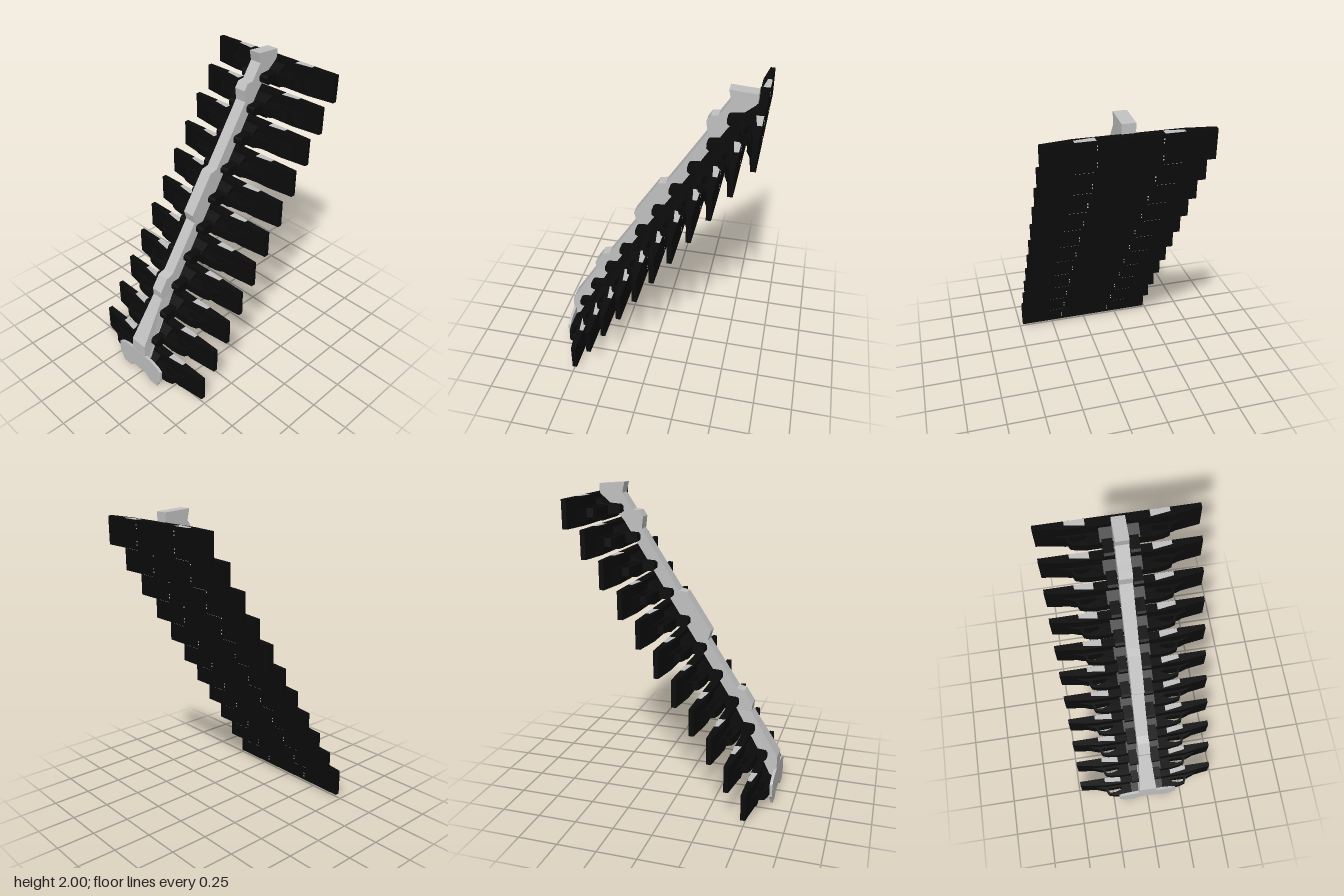
import * as THREE from 'three';

const black = new THREE.MeshStandardMaterial({ color: 0x0b0b0b });
black.name = 'black cabinet';
const grey = new THREE.MeshStandardMaterial({ color: 0xc0c0c0 });
grey.name = 'light grey metal';

function add(parent, name, geometry, material) {
  const mesh = new THREE.Mesh(geometry, material);
  mesh.name = name;
  parent.add(mesh);
  return mesh;
}

const toShape = (pts) => new THREE.Shape(pts.map(([a, b]) => new THREE.Vector2(a, b)));

// Plan outline (x, z) extruded between two heights
function plan(pts, y0, y1, hole) {
  const shape = toShape(pts);
  if (hole) shape.holes.push(new THREE.Path(hole.map(([a, b]) => new THREE.Vector2(a, b))));
  const g = new THREE.ExtrudeGeometry(shape, { depth: y1 - y0, bevelEnabled: false });
  return g.rotateX(Math.PI / 2).translate(0, y1, 0);
}

// Side outline (z, y) extruded from x0 to x1
function side(pts, x0, x1) {
  const g = new THREE.ExtrudeGeometry(toShape(pts), { depth: x1 - x0, bevelEnabled: false });
  return g.rotateY(-Math.PI / 2).translate(x1, 0, 0);
}

const mirrorX = (pts) => [...pts, ...pts.map(([x, y]) => [-x, y]).reverse()];
const flip = (pts, s) => pts.map(([x, z]) => [x * s, z]);

// One cabinet: origin at the bottom of its back face
function makeCabinet(index) {
  const g = new THREE.Group();
  g.name = 'cabinet' + (index + 1);
  const reach = index === 0 ? 0.125 : index === 1 ? 0.19 : 0.21;

  add(g, 'backPanel', plan(mirrorX([[0.48, 0], [0.48, 0.03], [0.3, 0.055]]), 0, 0.174), black);
  add(g, 'lowerBody', plan(mirrorX([[0.42, 0.03], [0.31, 0.07], [0.2, 0.065], [0.12, 0.11]]), 0.02, 0.11), black);
  // sloping middle of the body
  add(g, 'sleeve', side([[0.04, 0.005], [0.1, 0.01], [0.125, 0.05], [0.125, 0.105], [0.05, 0.15]], -0.115, 0.115), black);

  for (const s of [1, -1]) {
    // curved bracket with an opening
    add(g, 'bracket', plan(
      flip([[0.34, 0.04], [0.3, 0.075], [0.285, 0.11], [0.25, 0.122], [0.19, 0.13], [0.07, 0.13], [0.07, 0.04]], s),
      0.05, 0.105,
      flip([[0.285, 0.07], [0.275, 0.097], [0.24, 0.102], [0.195, 0.09], [0.17, 0.068]], s)), black);
    // nose beside the spine
    const nose = [[0.1, 0.045], [reach - 0.015, 0.052], [reach, 0.065], [reach, 0.095], [reach - 0.012, 0.108], [0.1, 0.115]];
    add(g, 'nose', side(nose, s > 0 ? 0.045 : -0.105, s > 0 ? 0.105 : -0.045), black);

    // pale plates on the upper and lower edges
    const pad = flip([[0.185, 0.001], [0.3, 0.001], [0.3, 0.028], [0.185, 0.045]], s);
    add(g, 'upperPlate', plan(pad, 0.172, 0.1755), grey);
    add(g, 'lowerPlate', plan(pad, -0.0015, 0.002), grey);
    // fasteners on the back
    for (const y of [0.03, 0.05, 0.125, 0.145]) {
      add(g, 'fastener', new THREE.BoxGeometry(0.006, 0.007, 0.004).translate(s * 0.18, y, -0.0005), grey);
    }
  }
  return g;
}

export function createModel() {
  const model = new THREE.Group();
  model.name = 'speakerColumn';

  // Stepped stack of cabinets
  for (let i = 0; i < 11; i++) {
    const cabinet = makeCabinet(i);
    cabinet.position.set(0, 0.028 + i * 0.173, 0.477 - i * 0.1098);
    model.add(cabinet);
  }

  // Leaning spine, flaring out towards the foot
  const spine = side([
    [0.622, 0.1], [0.622, 0.27], [0.44, 0.565], [0.445, 0.615], [0.39, 0.7], [0.34, 0.715],
    [0.142, 1.02], [0.16, 1.08], [0, 1.325], [-0.05, 1.335], [-0.295, 1.715], [-0.285, 1.79],
    [-0.31, 1.83], [-0.355, 1.835], [-0.42, 1.935], [-0.405, 2], [-0.572, 1.988], [-0.572, 1.93],
    [-0.5, 1.87], [-0.41, 1.76], [-0.11, 1.28], [0.07, 1.0], [0.345, 0.565], [0.5, 0.3], [0.585, 0.13],
  ], -1, 1);
  const p = spine.attributes.position;
  for (let i = 0; i < p.count; i++) {
    const t = THREE.MathUtils.clamp((0.565 - p.getY(i)) / 0.37, 0, 1);
    p.setX(i, p.getX(i) * (0.04 + 0.026 * t));
  }
  spine.computeVertexNormals();
  add(model, 'spine', spine, grey);

  // Foot plate with two toes
  const foot = toShape(mirrorX([
    [0.06, 0.035], [0.1, 0.005], [0.17, 0.005], [0.19, 0.04], [0.208, 0.06],
    [0.208, 0.145], [0.18, 0.165], [0.13, 0.18], [0.06, 0.188],
  ].map(([x, y]) => [x, y === 0.005 ? 0 : y])));
  add(model, 'foot', new THREE.ExtrudeGeometry(foot, { depth: 0.018, bevelEnabled: false }).translate(0, 0, 0.605), grey);

  return model;
}
